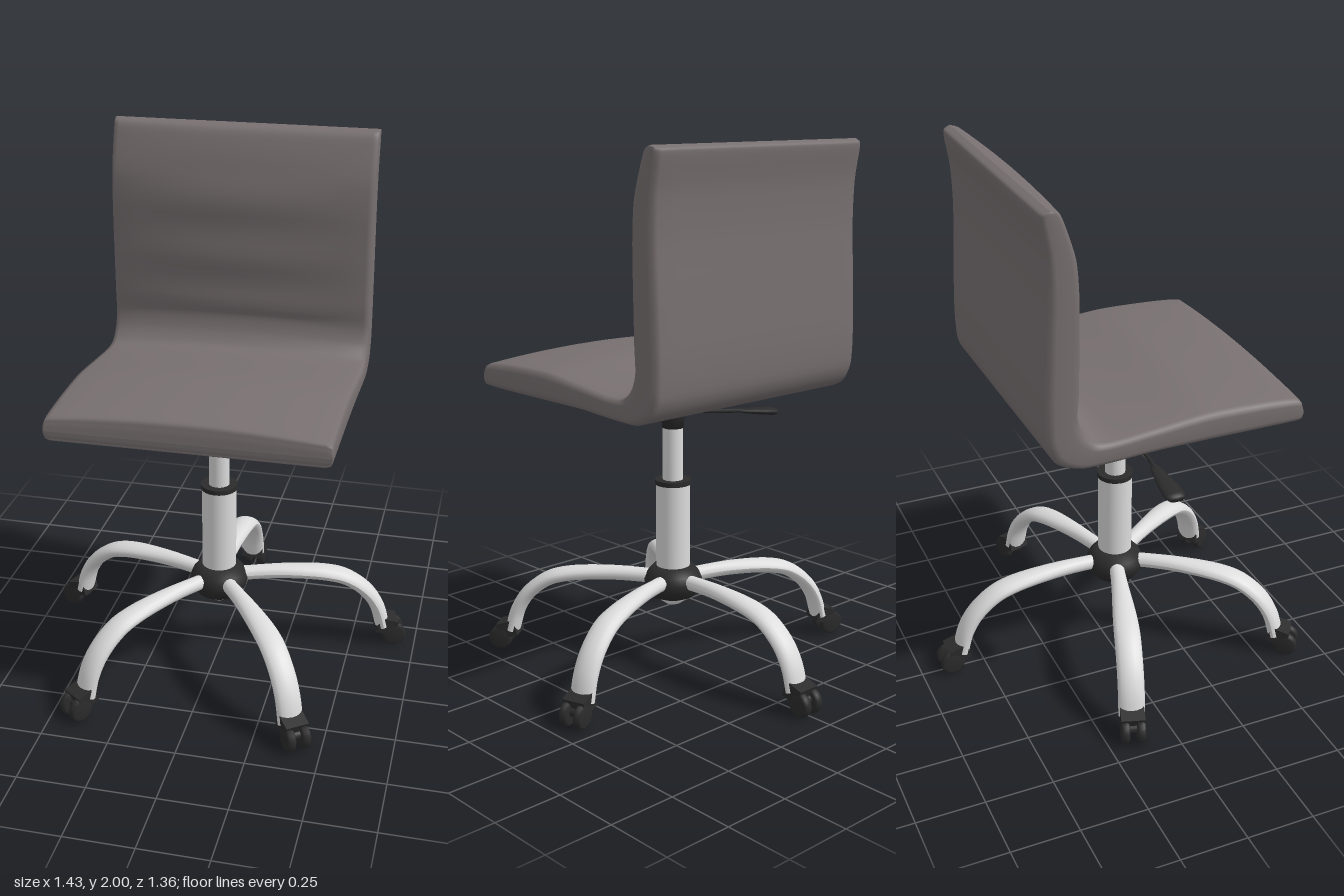
import * as THREE from 'three';

const AXIS_Z = 0.06; // column and base axis

const fabric = new THREE.MeshStandardMaterial({ color: 0x787071 });
fabric.name = 'grey upholstery';
const metal = new THREE.MeshStandardMaterial({ color: 0xdcdcdc });
metal.name = 'pale metal';
const black = new THREE.MeshStandardMaterial({ color: 0x2b2b2c });
black.name = 'black plastic';

function add(parent, name, geometry, material, x = 0, y = 0, z = 0) {
  const mesh = new THREE.Mesh(geometry, material);
  mesh.name = name;
  mesh.position.set(x, y, z);
  parent.add(mesh);
  return mesh;
}

const lathe = (points, segments = 40) =>
  new THREE.LatheGeometry(points.map(([r, y]) => new THREE.Vector2(r, y)), segments);

// One padded shell: outer and inner side curves paired from seat front to back top
function shellGeometry() {
  // outer z, outer y, inner z, inner y
  const stations = [
    [0.567, 1.12, 0.567, 1.12], [0.565, 1.095, 0.562, 1.15], [0.55, 1.082, 0.545, 1.17],
    [0.4, 1.08, 0.42, 1.182], [0.2, 1.08, 0.2, 1.187], [0, 1.08, 0, 1.167],
    [-0.15, 1.073, -0.15, 1.152], [-0.28, 1.072, -0.22, 1.158], [-0.36, 1.105, -0.265, 1.2],
    [-0.395, 1.17, -0.285, 1.26], [-0.402, 1.3, -0.28, 1.35], [-0.395, 1.5, -0.277, 1.5],
    [-0.386, 1.7, -0.275, 1.68], [-0.39, 1.85, -0.285, 1.82], [-0.407, 1.96, -0.325, 1.95],
    [-0.405, 1.987, -0.345, 1.987], [-0.377, 1.998, -0.377, 1.998],
  ];
  const outer = new THREE.CatmullRomCurve3(stations.map(s => new THREE.Vector3(0, s[1], s[0])), false, 'catmullrom', 0.4);
  const inner = new THREE.CatmullRomCurve3(stations.map(s => new THREE.Vector3(0, s[3], s[2])), false, 'catmullrom', 0.4);

  // Section across the width: x and share of the thickness, crowned on the inner side
  const loop = [];
  const N = 12;
  for (let i = 0; i <= N; i++) loop.push([-0.475 + 0.95 * i / N, 0]);
  const side = [[0.492, 0.08], [0.498, 0.25], [0.498, 0.75], [0.492, 0.93]];
  loop.push(...side);
  for (let i = 0; i <= N; i++) {
    const x = 0.475 - 0.95 * i / N;
    loop.push([x, 1 + 0.26 * (1 - (x / 0.475) ** 2)]);
  }
  loop.push(...side.slice().reverse().map(([x, t]) => [-x, t]));

  const positions = [], index = [];
  const rows = (stations.length - 1) * 5, n = loop.length;
  const p = new THREE.Vector3();
  for (let r = 0; r <= rows; r++) {
    const a = outer.getPoint(r / rows), b = inner.getPoint(r / rows);
    for (const [x, t] of loop) {
      p.lerpVectors(a, b, t);
      // soft horizontal folds on the backrest
      if (t >= 1 && p.y > 1.3 && p.y < 1.9) p.z += 0.004 * Math.sin(p.y * 30) * (t - 1) * 4;
      positions.push(x, p.y, p.z);
    }
  }
  for (let r = 0; r < rows; r++) {
    for (let i = 0; i < n; i++) {
      const a = r * n + i, b = r * n + (i + 1) % n, c = a + n, d = b + n;
      index.push(a, c, b, b, c, d);
    }
  }
  const g = new THREE.BufferGeometry();
  g.setAttribute('position', new THREE.Float32BufferAttribute(positions, 3));
  g.setIndex(index);
  g.computeVertexNormals();
  return g;
}

// Curved leg running towards -z, flattened and widening away from the hub
function legGeometry() {
  const path = new THREE.CatmullRomCurve3([
    [0.05, 0.335], [0.25, 0.338], [0.42, 0.322], [0.5, 0.297], [0.58, 0.235], [0.625, 0.165], [0.65, 0.08],
  ].map(([r, y]) => new THREE.Vector3(0, y, -r)));
  const g = new THREE.TubeGeometry(path, 40, 0.028, 16);
  const pos = g.attributes.position;
  for (let i = 0; i < pos.count; i++) {
    const reach = THREE.MathUtils.smoothstep(-pos.getZ(i), 0.1, 0.5);
    pos.setX(i, pos.getX(i) * (1.05 + 0.7 * reach));
  }
  g.computeVertexNormals();
  return g;
}

function createCaster() {
  const caster = new THREE.Group();
  caster.name = 'caster';
  const wheel = lathe([[0, -0.016], [0.036, -0.016], [0.046, -0.009], [0.046, 0.009], [0.036, 0.016], [0, 0.016]], 24);
  wheel.rotateZ(Math.PI / 2);
  for (const s of [-1, 1]) add(caster, 'casterWheel', wheel, black, s * 0.029, 0.047, -0.694);
  add(caster, 'casterAxle', new THREE.CylinderGeometry(0.018, 0.018, 0.05, 16).rotateZ(Math.PI / 2), black, 0, 0.055, -0.694);
  // hood joining the wheels to the leg end
  const hood = add(caster, 'casterHood', new THREE.BoxGeometry(0.088, 0.062, 0.075), black, 0, 0.083, -0.665);
  hood.rotation.x = -0.3;
  return caster;
}

export function createModel() {
  const chair = new THREE.Group();
  chair.name = 'swivelChair';

  add(chair, 'seatAndBackShell', shellGeometry(), fabric);

  // Column
  const column = new THREE.Group();
  column.name = 'column';
  column.position.z = AXIS_Z;
  chair.add(column);
  add(column, 'seatMount', lathe([[0, 0.93], [0.04, 0.93], [0.046, 0.98], [0.05, 1.0], [0.08, 1.015],
    [0.14, 1.035], [0.195, 1.065], [0.2, 1.085], [0, 1.085]]), black);
  add(column, 'gasLift', new THREE.CylinderGeometry(0.039, 0.039, 0.25, 32), metal, 0, 0.835);
  add(column, 'collar', new THREE.CylinderGeometry(0.069, 0.069, 0.018, 32), black, 0, 0.72);
  add(column, 'outerTube', new THREE.CylinderGeometry(0.065, 0.065, 0.36, 32), metal, 0, 0.535);
  add(column, 'hub', lathe([[0, 0.255], [0.05, 0.255], [0.085, 0.27], [0.105, 0.3], [0.112, 0.33],
    [0.1, 0.36], [0.075, 0.388], [0, 0.388]]), black);
  add(column, 'hubCap', lathe([[0, 0.228], [0.03, 0.234], [0.052, 0.25], [0.058, 0.27]], 32), metal);

  // Five legs with casters
  const leg = legGeometry();
  for (let i = 0; i < 5; i++) {
    const arm = new THREE.Group();
    arm.name = 'baseArm';
    arm.rotation.y = i * Math.PI * 2 / 5;
    add(arm, 'leg', leg, metal);
    arm.add(createCaster());
    column.add(arm);
  }

  // Height lever on the right
  const rod = new THREE.CurvePath();
  const bends = [[-0.08, 1.05], [-0.155, 0.968], [-0.37, 0.937]].map(([x, y]) => new THREE.Vector3(x, y, 0.055));
  for (let i = 0; i < 2; i++) rod.add(new THREE.LineCurve3(bends[i], bends[i + 1]));
  add(chair, 'leverRod', new THREE.TubeGeometry(rod, 24, 0.008, 8), black);
  const paddle = lathe([[0, -0.1], [0.03, -0.098], [0.039, -0.08], [0.036, -0.02], [0.022, 0.07], [0.012, 0.1], [0, 0.1]], 20);
  paddle.scale(0.4, 1, 1);
  const handle = add(chair, 'leverPaddle', paddle, black, -0.448, 0.924, 0.055);
  handle.rotation.z = -Math.PI / 2 + 0.15;

  return chair;
}
